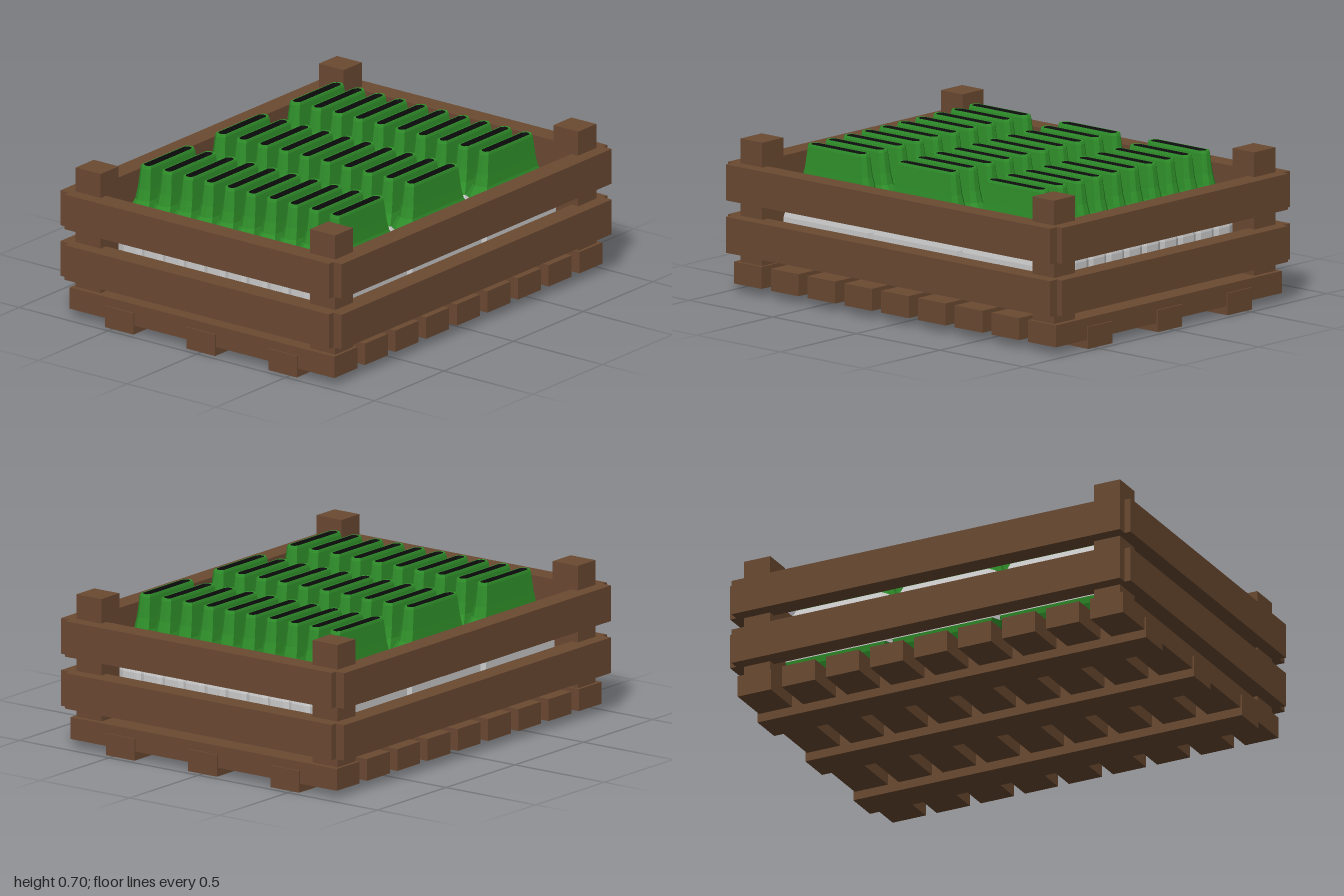
import * as THREE from 'three';

const wood = new THREE.MeshStandardMaterial({ color: 0x6b4a32, flatShading: true });
const green = new THREE.MeshStandardMaterial({ color: 0x2f8f2a, flatShading: true });
const grey = new THREE.MeshStandardMaterial({ color: 0xcccccc, flatShading: true });
const black = new THREE.MeshStandardMaterial({ color: 0x111111, flatShading: true });

// Long eight-sided ring with shallow pointed ends: [y, half width, half length]
function ring([y, hx, hz]) {
  const c = hz * 0.085, m = hx * 0.4;
  return [[hx, hz - c], [m, hz], [-m, hz], [-hx, hz - c], [-hx, c - hz], [-m, -hz], [m, -hz], [hx, c - hz]]
    .map(([x, z]) => new THREE.Vector3(x, y, z));
}

// Skin consecutive rings, optionally closing the first or last one
function loft(sections, { bottom = false, top = false } = {}) {
  const rings = sections.map(ring), pts = [];
  for (let i = 0; i < rings.length - 1; i++) {
    const a = rings[i], b = rings[i + 1];
    for (let k = 0; k < 8; k++) {
      const n = (k + 1) % 8;
      pts.push(a[k], b[k], a[n], b[k], b[n], a[n]);
    }
  }
  const last = rings[rings.length - 1];
  for (let k = 1; k < 7; k++) {
    if (bottom) pts.push(rings[0][0], rings[0][k], rings[0][k + 1]);
    if (top) pts.push(last[0], last[k + 1], last[k]);
  }
  const g = new THREE.BufferGeometry().setFromPoints(pts);
  g.computeVertexNormals();
  return g;
}

function add(parent, name, geometry, material, x = 0, y = 0, z = 0) {
  const m = new THREE.Mesh(geometry, material);
  m.name = name;
  m.position.set(x, y, z);
  parent.add(m);
}

export function createModel() {
  const model = new THREE.Group();
  model.name = 'filledCrate';
  const crate = new THREE.Group();
  crate.name = 'crate';
  model.add(crate);

  // Base runners and floor slats
  const runner = new THREE.BoxGeometry(0.16, 0.1, 1.94);
  for (const x of [-0.46, 0, 0.46]) add(crate, 'runner', runner, wood, x, 0.05, 0);
  const slat = new THREE.BoxGeometry(1.49, 0.1, 0.165);
  for (let i = -4; i <= 4; i++) add(crate, 'floorSlat', slat, wood, 0, 0.09, i * 0.22);

  // Corner posts
  const post = new THREE.BoxGeometry(0.14, 0.6, 0.13);
  for (const x of [-0.66, 0.66])
    for (const z of [-0.873, 0.873]) add(crate, 'cornerPost', post, wood, x, 0.4, z);

  // Two tiers of wall boards
  const endBoard = new THREE.BoxGeometry(1.49, 0.163, 0.1);
  const sideBoard = new THREE.BoxGeometry(0.098, 0.163, 1.94);
  for (const y of [0.268, 0.506])
    for (const s of [-1, 1]) {
      add(crate, 'endBoard', endBoard, wood, 0, y, s * 0.95);
      add(crate, 'sideBoard', sideBoard, wood, s * 0.743, y, 0);
    }

  // Container parts shared by every copy
  const base = loft([[0.125, 0.02, 0.06], [0.14, 0.06, 0.19], [0.19, 0.085, 0.26], [0.22, 0.09, 0.272]], { bottom: true });
  const body = loft([[0.22, 0.09, 0.272], [0.35, 0.09, 0.272], [0.425, 0.075, 0.255], [0.48, 0.056, 0.232]]);
  const neck = loft([[0.48, 0.056, 0.232], [0.53, 0.04, 0.2], [0.58, 0.035, 0.187],
    [0.672, 0.029, 0.174], [0.683, 0.026, 0.17], [0.683, 0.021, 0.158]]);
  const slot = loft([[0.683, 0.021, 0.158], [0.65, 0.02, 0.156]], { top: true });

  // Three rows of ten containers
  for (const z of [-0.54, -0.005, 0.53]) {
    const row = new THREE.Group();
    row.name = 'containerRow';
    row.position.z = z;
    for (let i = 0; i < 10; i++) {
      const x = (i - 4.5) * 0.118;
      add(row, 'containerBase', base, green, x);
      add(row, 'containerBody', body, grey, x);
      add(row, 'containerNeck', neck, green, x);
      add(row, 'containerSlot', slot, black, x);
    }
    model.add(row);
  }
  return model;
}
